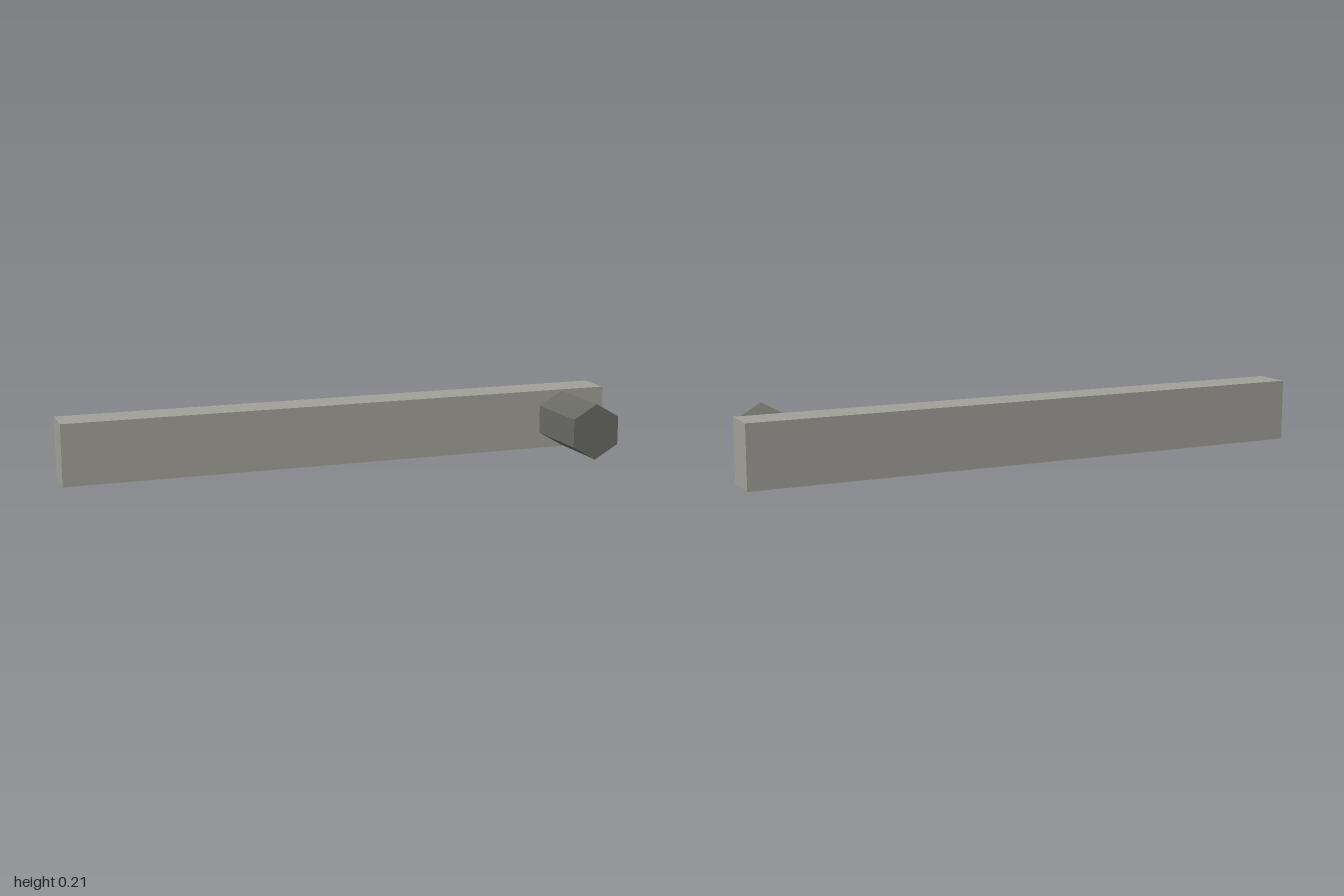
import * as THREE from 'three';

export function createModel() {
  const model = new THREE.Group();
  model.name = 'leverHandle';

  const lightGrey = new THREE.MeshStandardMaterial({ color: 0xa09f98 });
  lightGrey.name = 'lightGrey';
  const darkGrey = new THREE.MeshStandardMaterial({ color: 0x686863, flatShading: true });
  darkGrey.name = 'darkGrey';

  // Long flat lever bar along the back
  const bar = new THREE.Mesh(new THREE.BoxGeometry(2, 0.213, 0.133), lightGrey);
  bar.name = 'leverBar';
  bar.position.set(0, 0.1065, -0.1335);
  model.add(bar);

  // Hexagonal spindle pointing forward, with corners at top and bottom
  const spindle = new THREE.Mesh(new THREE.CylinderGeometry(0.1, 0.1, 0.267, 6), darkGrey);
  spindle.name = 'hexSpindle';
  spindle.rotation.x = Math.PI / 2;
  spindle.position.set(0.83, 0.1075, 0.0665);
  model.add(spindle);

  return model;
}
